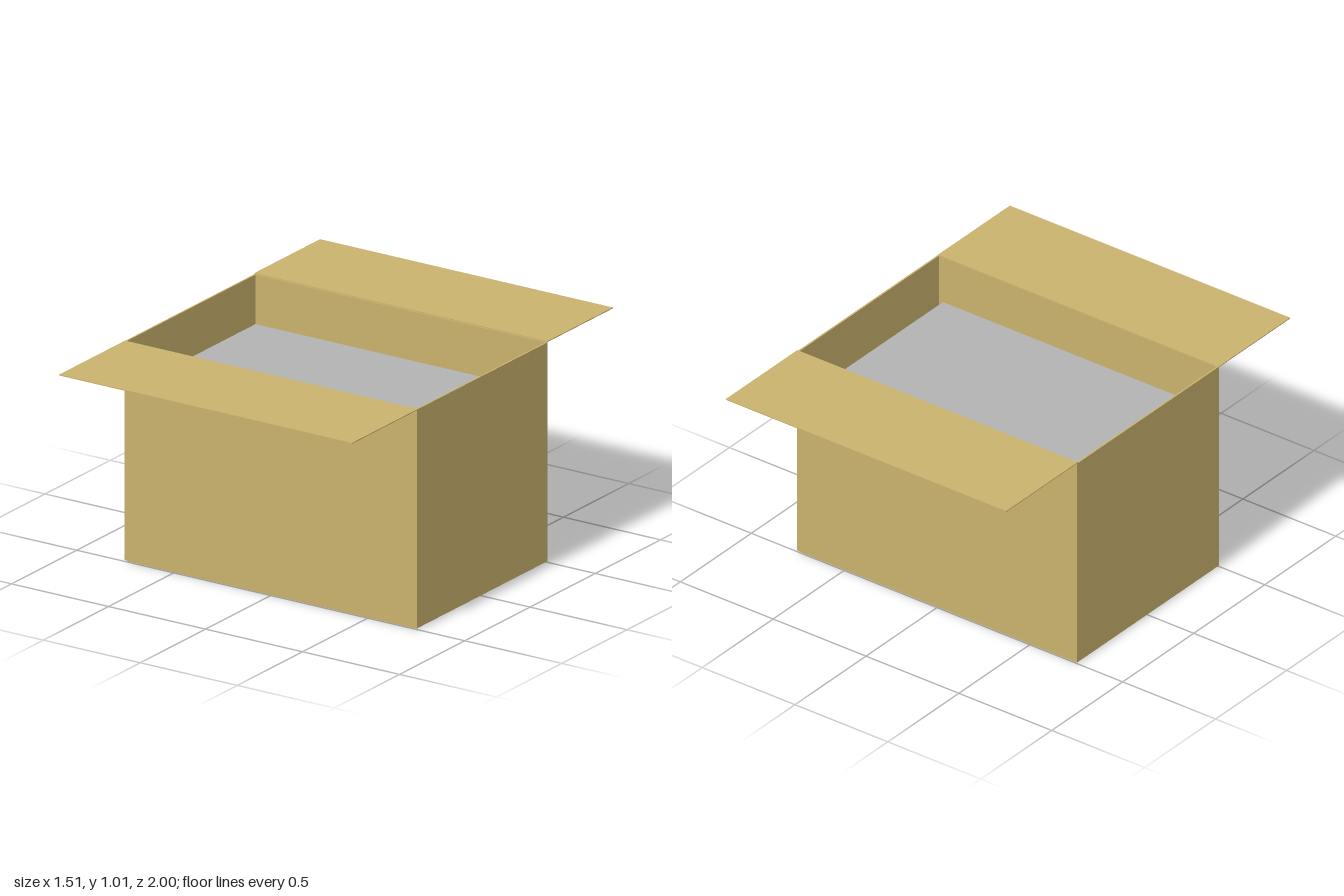
import * as THREE from 'three';

export function createModel() {
  const group = new THREE.Group();
  const cardboard = new THREE.MeshStandardMaterial({ color: 0xc9b26d });
  cardboard.name = 'cardboard';
  const grey = new THREE.MeshStandardMaterial({ color: 0xb3b3b3 });
  grey.name = 'grey filling';

  const addBox = (name, material, size, position) => {
    const mesh = new THREE.Mesh(new THREE.BoxGeometry(...size), material);
    mesh.name = name;
    mesh.position.set(...position);
    group.add(mesh);
  };

  const halfX = 0.755, halfZ = 0.5, t = 0.008;
  const wallBottom = 0.006;
  const wallTop = 1.004;
  const wallH = wallTop - wallBottom;
  const wallY = (wallTop + wallBottom) / 2;

  // Floor, slightly inset below the walls
  addBox('floor', cardboard, [1.49, 0.008, 0.99], [0, 0.004, 0]);

  // Long walls and the shorter end walls between them
  for (const [side, s] of [['front', 1], ['back', -1]]) {
    addBox(side + 'Wall', cardboard, [halfX * 2, wallH, t], [0, wallY, s * (halfZ - t / 2)]);
  }
  for (const [side, s] of [['left', 1], ['right', -1]]) {
    addBox(side + 'Wall', cardboard, [t, wallH, (halfZ - t) * 2], [s * (halfX - t / 2), wallY, 0]);
  }

  // Open flaps folded out flat, the back one a touch higher
  for (const [side, s, top] of [['front', 1, 1.005], ['back', -1, 1.009]]) {
    addBox(side + 'Flap', cardboard, [halfX * 2, 0.004, 0.504], [0, top - 0.002, s * 0.748]);
  }

  // Filling, leaving a narrow gap at the left end
  addBox('filling', grey, [1.47, 0.77, 0.98], [-0.01, 0.395, 0]);

  return group;
}
